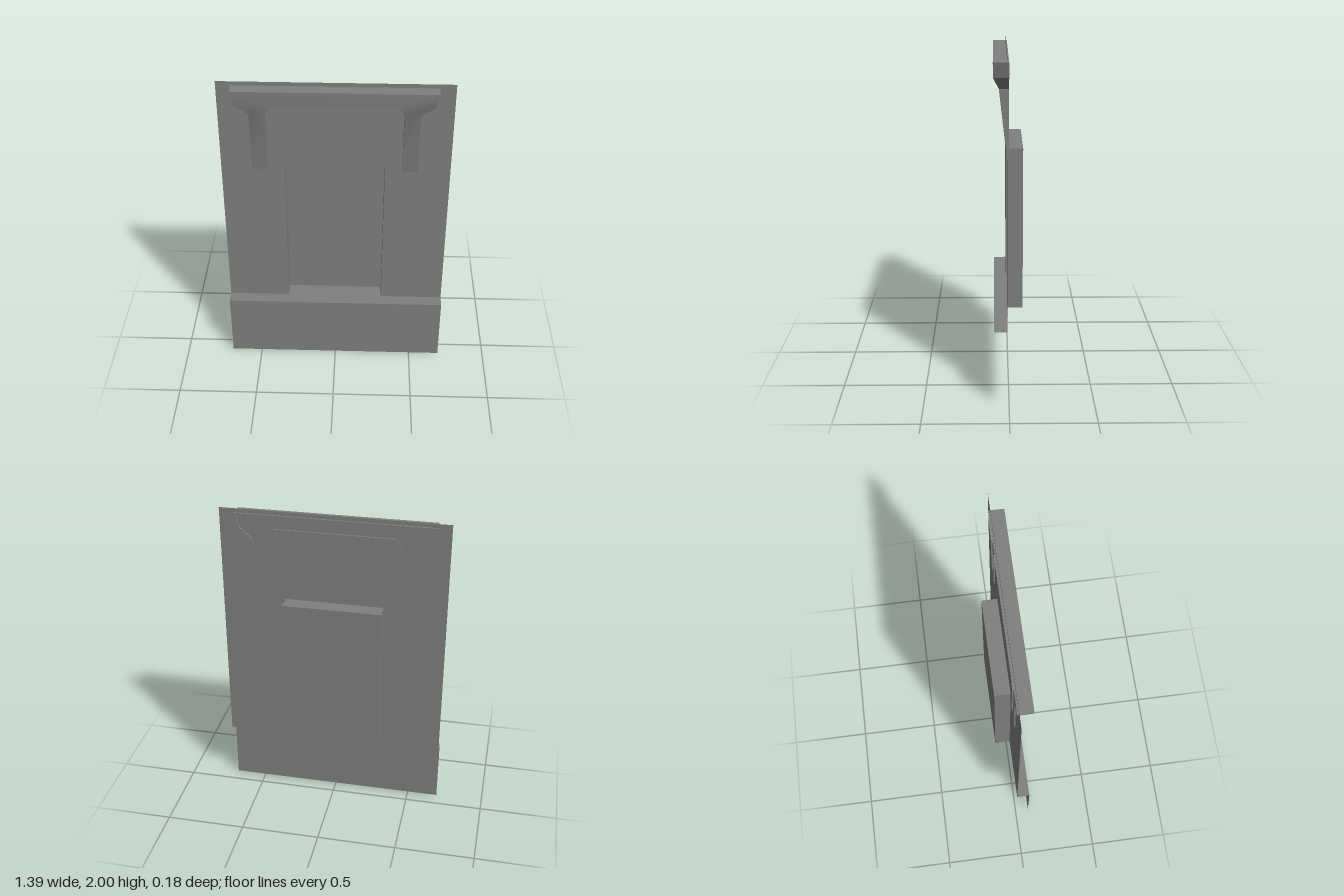
import * as THREE from 'three';

const stone = new THREE.MeshStandardMaterial({ color: 0x808080, side: THREE.DoubleSide });
stone.name = 'grey stone';

const W = 0.697, WALL = 0.007, FRONT = 0.088, BACK = -0.09, LEDGE = 0.425;
const niche = { x0: -0.31, x1: 0.3, y1: 1.43 };

// Quads from corner lists, wound counter-clockwise seen from outside; smooth shares the corners.
function surface(name, quads, smooth = false) {
  const pos = [], index = [], seen = new Map();
  for (const quad of quads) {
    const ids = quad.map((p) => {
      const key = p.join();
      if (smooth && seen.has(key)) return seen.get(key);
      pos.push(...p);
      seen.set(key, pos.length / 3 - 1);
      return pos.length / 3 - 1;
    });
    index.push(ids[0], ids[1], ids[2], ids[0], ids[2], ids[3]);
  }
  const g = new THREE.BufferGeometry();
  g.setAttribute('position', new THREE.Float32BufferAttribute(pos, 3));
  g.setIndex(index);
  g.computeVertexNormals();
  const mesh = new THREE.Mesh(g, stone);
  mesh.name = name;
  return mesh;
}

const upright = (x0, x1, y0, y1, z) => [[x0, y0, z], [x1, y0, z], [x1, y1, z], [x0, y1, z]];
const level = (x0, x1, y, z0, z1) => [[x0, y, z1], [x1, y, z1], [x1, y, z0], [x0, y, z0]];

function createHood() {
  const hood = new THREE.Group();
  hood.name = 'hood';
  // Rows of one bracket: height, inner and outer half width, front depth, back depth
  const rows = [
    [1.975, 0.37, 0.606, FRONT, -0.003],
    [1.888, 0.37, 0.582, FRONT, -0.003],
    [1.815, 0.408, 0.502, 0.055, -0.003],
    [1.47, 0.408, 0.502, 0.016, -0.002],
    [1.41, 0.408, 0.502, 0.008, 0.006],
  ];
  const cx = -0.005;
  const front = [], sides = [];
  for (const s of [-1, 1]) {
    const add = (list, quad) => list.push(s > 0 ? quad : quad.reverse());
    for (let i = 0; i < rows.length - 1; i++) {
      const [ya, ia, oa, fa, ba] = rows[i], [yb, ib, ob, fb, bb] = rows[i + 1];
      const X = (v) => cx + s * v;
      add(front, [[X(ib), yb, fb], [X(ob), yb, fb], [X(oa), ya, fa], [X(ia), ya, fa]]);
      add(sides, [[X(ob), yb, fb], [X(ob), yb, bb], [X(oa), ya, ba], [X(oa), ya, fa]]);
      // The inner face begins below the beam
      if (i > 0) add(sides, [[X(ib), yb, bb], [X(ib), yb, fb], [X(ia), ya, fa], [X(ia), ya, ba]]);
    }
  }
  // Beam between the brackets
  const [top, under] = rows;
  front.push(upright(cx - top[1], cx + top[1], under[0], top[0], FRONT));
  hood.add(
    surface('hoodFront', front, true),
    surface('hoodSides', sides),
    surface('hoodTop', [level(cx - top[2], cx + top[2], top[0], top[4], FRONT)]),
    surface('hoodUnderside', [level(cx - top[1], cx + top[1], under[0], top[4], FRONT).reverse()]),
  );
  return hood;
}

export function createModel() {
  const model = new THREE.Group();
  model.name = 'wallPanel';
  const { x0, x1, y1 } = niche;

  // Wall sheet around the niche opening
  model.add(surface('wall', [
    upright(-W, x0, LEDGE, y1, WALL),
    upright(x1, W, LEDGE, y1, WALL),
    upright(-W, W, y1, 2, WALL),
  ]));

  // Recess set back into the wall
  model.add(surface('niche', [
    upright(x0, x1, LEDGE, y1, BACK),
    level(x0, x1, LEDGE, BACK, WALL),
    level(x0, x1, y1, BACK, WALL).reverse(),
    [[x0, LEDGE, WALL], [x0, LEDGE, BACK], [x0, y1, BACK], [x0, y1, WALL]].reverse(),
    [[x1, LEDGE, WALL], [x1, LEDGE, BACK], [x1, y1, BACK], [x1, y1, WALL]],
  ]));

  // Projecting base with its ledge
  model.add(surface('ledge', [level(-W, W, LEDGE, WALL, FRONT)]));
  model.add(surface('basePanel', [upright(-W, W, 0, LEDGE, FRONT)]));

  model.add(createHood());
  return model;
}
